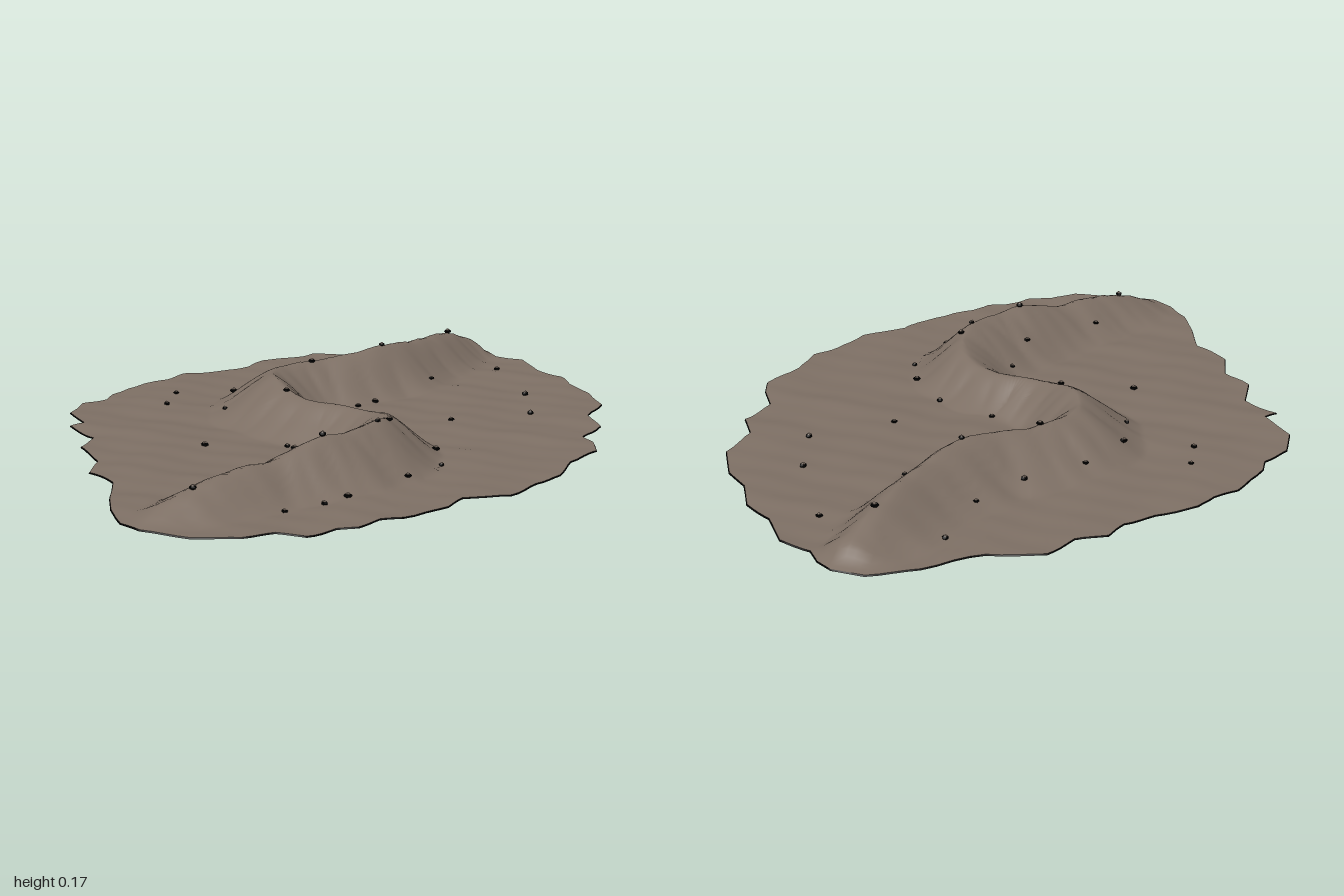
import * as THREE from 'three';

// Shore outline of the sand patch, x,z pairs
const RIM = [-1, .62, -.98, .50, -.94, .39, -.87, .24, -.89, .10, -.82, -.01, -.82, -.15, -.74, -.25, -.76, -.40,
  -.71, -.41, -.70, -.56, -.62, -.66, -.52, -.69, -.48, -.74, -.33, -.83, -.24, -.84, -.16, -.88, -.02, -.87,
  .09, -.88, .17, -.93, .27, -.91, .38, -.95, .53, -.87, .73, -.87, .88, -.83, .95, -.76, .96, -.69, .95, -.62,
  1, -.52, .97, -.37, .99, -.25, .95, -.13, .95, -.01, .90, .14, .78, .24, .75, .36, .63, .44, .61, .53, .57, .61,
  .43, .68, .33, .78, .23, .81, .10, .88, -.05, .86, -.12, .90, -.28, .93, -.35, .92, -.43, .95, -.49, .93,
  -.59, .95, -.66, .90, -.76, .90, -.88, .82, -.98, .71];

// Dune crest: x, height, z
const CREST = [[-.95, .01, .68], [-.79, .078, .635], [-.65, .10, .60], [-.50, .10, .57], [-.35, .146, .54],
  [-.22, .14, .505], [-.08, .145, .43], [0, .115, .30], [-.02, .095, .13], [-.11, .105, -.02], [-.13, .128, -.19],
  [-.07, .134, -.33], [.09, .125, -.39], [.33, .14, -.40], [.57, .125, -.51], [.78, .09, -.66], [.89, .04, -.72],
  [.94, .01, -.745]];

// Pebble positions, x,z pairs
const PEBBLES = [-.30, -.62, -.38, -.51, -.17, -.44, .01, -.52, .23, -.54, .42, -.60, .59, -.74, .76, -.64, .37, -.41,
  .09, -.38, -.27, -.29, -.14, -.10, .09, -.17, .17, -.20, .25, -.23, .52, -.33, .84, -.43, .74, -.08, .35, .10,
  .63, .13, .06, -.01, .14, .20, .13, .39, -.25, .13, -.24, .16, -.18, .30, -.29, .40, -.47, 0, -.11, .46, -.05, .42,
  .07, .53, -.10, .63, -.33, .53, -.61, .49, -.79, .64, -.55, .73, -.42, .72, -.34, .71];

const GROUND = 0.019, RINGS = 84, STEPS = 4;

// Crest samples with the sideways normal pointing to the steeper face
function sampleCrest() {
  const curve = new THREE.CatmullRomCurve3(CREST.map(p => new THREE.Vector3(...p)));
  const n = 260;
  return Array.from({ length: n + 1 }, (_, i) => {
    const p = curve.getPoint(i / n), t = curve.getTangent(i / n);
    const len = Math.hypot(t.x, t.z);
    const gully = 1 + 0.06 * Math.sin(i * 0.9) + 0.05 * Math.sin(i * 0.37 + 1);
    return { x: p.x, z: p.z, h: p.y, nx: -t.z / len, nz: t.x / len, w: (0.085 + 0.70 * p.y) * gully };
  });
}

// Terrain height: gentle ripples plus the highest dune cross-section, fading out at the rim
function makeHeight() {
  const crest = sampleCrest();
  return (x, z, inset = 1) => {
    let dune = 0;
    for (const s of crest) {
      const dx = x - s.x, dz = z - s.z, d = Math.hypot(dx, dz);
      const side = d > 1e-6 ? (dx * s.nx + dz * s.nz) / d : 0;
      const u = 1 - d / (s.w * (1 - 0.1 * side));
      if (u > 0) dune = Math.max(dune, s.h * (0.55 * u + 0.45 * u * u * (3 - 2 * u)));
    }
    const ripple = 0.003 * Math.sin(x * 17 + 2 * Math.sin(z * 9)) + 0.0025 * Math.sin(z * 23 + x * 11 + 1)
      + 0.0015 * Math.sin(x * 41 - z * 31);
    return GROUND + ripple + dune * Math.min(1, inset / 0.05);
  };
}

// Rim points, evenly subdivided
function rimPoints() {
  const rim = [], count = RIM.length / 2;
  for (let i = 0; i < count; i++) {
    const j = (i + 1) % count;
    for (let k = 0; k < STEPS; k++) {
      const f = k / STEPS;
      rim.push([RIM[2 * i] * (1 - f) + RIM[2 * j] * f, RIM[2 * i + 1] * (1 - f) + RIM[2 * j + 1] * f]);
    }
  }
  return rim;
}

function indexedGeometry(pos, idx) {
  const geo = new THREE.BufferGeometry();
  geo.setAttribute('position', new THREE.Float32BufferAttribute(pos, 3));
  geo.setIndex(idx);
  geo.computeVertexNormals();
  return geo;
}

// Rings of points growing from the centre to the rim
function terrainGeometry(rim, height) {
  const n = rim.length, pos = [0, height(0, 0), 0], idx = [];
  for (let r = 1; r <= RINGS; r++) {
    for (const [rx, rz] of rim) {
      const x = rx * r / RINGS, z = rz * r / RINGS;
      pos.push(x, height(x, z, 1 - r / RINGS), z);
    }
  }
  const at = (r, i) => r === 0 ? 0 : 1 + (r - 1) * n + i % n;
  for (let r = 0; r < RINGS; r++) {
    for (let i = 0; i < n; i++) {
      idx.push(at(r, i), at(r + 1, i + 1), at(r + 1, i));
      if (r > 0) idx.push(at(r, i), at(r, i + 1), at(r + 1, i + 1));
    }
  }
  return indexedGeometry(pos, idx);
}

// The same sheet, a little lower and facing down
function undersideGeometry(ground, drop, spread) {
  const geo = ground.clone();
  geo.scale(spread, 1, spread);
  geo.translate(0, -drop, 0);
  geo.setIndex(Array.from(ground.index.array).reverse());
  geo.computeVertexNormals();
  return geo;
}

// Narrow band joining the rims of the sand and the underside
function edgeGeometry(rim, height, drop, spread) {
  const n = rim.length, pos = [], idx = [];
  for (const [x, z] of rim) {
    const y = height(x, z, 0);
    pos.push(x, y, z, x * spread, y - drop, z * spread);
  }
  for (let i = 0; i < n; i++) {
    const a = 2 * i, b = 2 * ((i + 1) % n);
    idx.push(a, b, a + 1, b, b + 1, a + 1);
  }
  return indexedGeometry(pos, idx);
}

export function createModel() {
  const sand = new THREE.MeshStandardMaterial({ color: 0x7d6f64 });
  sand.name = 'sand';
  const black = new THREE.MeshStandardMaterial({ color: 0x000000 });
  black.name = 'undersideBlack';

  const model = new THREE.Group();
  model.name = 'sandDune';
  const add = (parent, name, geo, mat) => {
    const mesh = new THREE.Mesh(geo, mat);
    mesh.name = name;
    parent.add(mesh);
    return mesh;
  };

  // Sand sheet with a dark underside and edge
  const height = makeHeight(), rim = rimPoints();
  const drop = 0.004, spread = 1.003;
  const ground = terrainGeometry(rim, height);
  add(model, 'duneSurface', ground, sand);
  add(model, 'duneUnderside', undersideGeometry(ground, drop, spread), black);
  add(model, 'duneEdge', edgeGeometry(rim, height, drop, spread), black);

  // Scattered pebbles: a sandy cap on a wider dark base
  const pebbleGeo = new THREE.DodecahedronGeometry(1);
  const pebbles = new THREE.Group();
  pebbles.name = 'pebbles';
  model.add(pebbles);
  for (let i = 0; i < PEBBLES.length / 2; i++) {
    const x = PEBBLES[2 * i], z = PEBBLES[2 * i + 1];
    const r = 0.009 + 0.003 * ((i * 7) % 5) / 4;
    const pebble = new THREE.Group();
    pebble.name = 'pebble';
    pebble.position.set(x, height(x, z) + r * 0.45, z);
    pebble.scale.set(r * 1.1, r, r * 0.95);
    pebble.rotation.y = i * 1.7;
    const base = add(pebble, 'pebbleBase', pebbleGeo, black);
    base.scale.set(1, 0.6, 1);
    const cap = add(pebble, 'pebbleCap', pebbleGeo, sand);
    cap.scale.set(0.65, 0.6, 0.65);
    cap.position.y = 0.25;
    pebbles.add(pebble);
  }
  return model;
}
